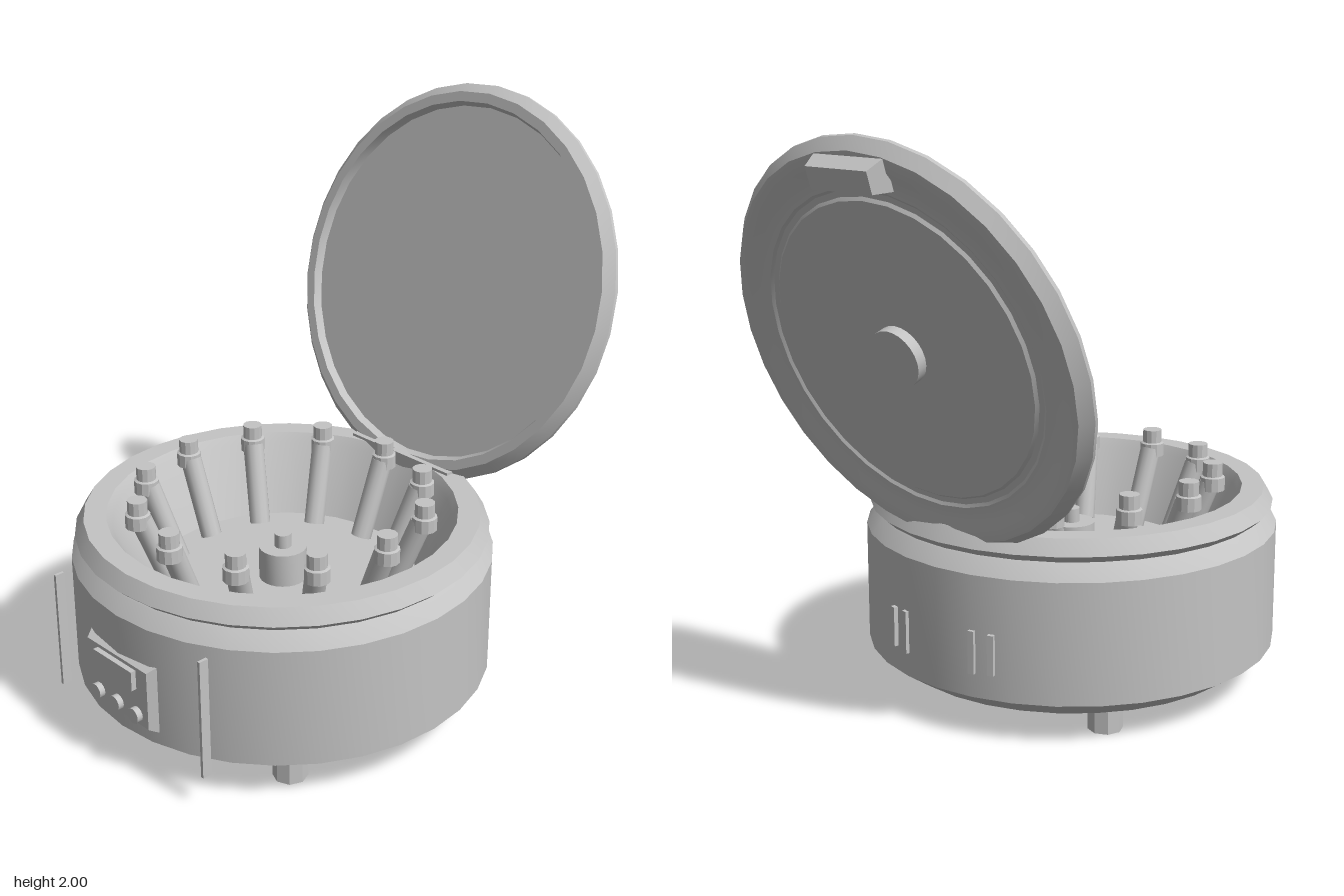
import * as THREE from 'three';
import { toCreasedNormals } from 'three/addons/utils/BufferGeometryUtils.js';

const CZ = 0.193; // z of the body axis

export function createModel() {
  const model = new THREE.Group();
  model.name = 'centrifuge';
  const grey = new THREE.MeshStandardMaterial({ color: 0xc4c4c4 });
  grey.name = 'grey';

  const add = (name, geometry, x = 0, y = 0, z = 0, parent = model) => {
    const mesh = new THREE.Mesh(geometry, grey);
    mesh.name = name;
    mesh.position.set(x, y, z);
    parent.add(mesh);
    return mesh;
  };
  const lathe = (points, segments = 32) => toCreasedNormals(
    new THREE.LatheGeometry(points.map(p => new THREE.Vector2(...p)), segments), 0.42);
  const box = (w, h, d) => new THREE.BoxGeometry(w, h, d);
  // box whose +z face is narrowed by an inset on every side
  const taperedBox = (w, h, d, inset) => {
    const g = box(w, h, d), p = g.attributes.position;
    for (let i = 0; i < p.count; i++) {
      if (p.getZ(i) > 0) {
        p.setX(i, p.getX(i) - Math.sign(p.getX(i)) * inset);
        p.setY(i, p.getY(i) - Math.sign(p.getY(i)) * inset);
      }
    }
    return toCreasedNormals(g, 0.2);
  };

  // Body shell with grooved rim and open bowl
  add('body', lathe([
    [0, 0.08], [0.64, 0.08], [0.735, 0.145], [0.735, 0.57], [0.695, 0.62],
    [0.69, 0.625], [0.72, 0.652], [0.688, 0.705], [0.61, 0.705], [0.59, 0.675],
    [0.475, 0.43], [0, 0.43],
  ]), 0, 0, CZ);

  // Rotor hub and spindle
  add('hub', lathe([[0.085, 0.43], [0.085, 0.55], [0.03, 0.55], [0.03, 0.6], [0, 0.6]], 24), 0, 0, CZ);

  // Ring of leaning tubes with upright caps
  const low = new THREE.Vector3(0, 0.44, 0.39), high = new THREE.Vector3(0, 0.715, 0.495);
  const axis = high.clone().sub(low);
  const tubeGeo = toCreasedNormals(new THREE.CylinderGeometry(0.038, 0.038, axis.length(), 12), 0.6);
  const capGeo = lathe([[0, 0.69], [0.044, 0.69], [0.044, 0.738], [0.035, 0.742], [0.035, 0.79], [0, 0.79]], 12);
  for (let i = 0; i < 12; i++) {
    const holder = new THREE.Group();
    holder.name = 'tubeHolder';
    holder.position.z = CZ;
    holder.rotation.y = i * Math.PI / 6;
    const mid = low.clone().lerp(high, 0.5);
    add('tube', tubeGeo, mid.x, mid.y, mid.z, holder)
      .quaternion.setFromUnitVectors(new THREE.Vector3(0, 1, 0), axis.clone().normalize());
    add('tubeCap', capGeo, 0, 0, 0.505, holder);
    model.add(holder);
  }

  // Feet
  for (const x of [-0.44, 0.44]) for (const z of [-0.38, 0.38]) {
    add('foot', toCreasedNormals(new THREE.CylinderGeometry(0.06, 0.06, 0.09, 8), 0.5), x, 0.045, CZ + z);
  }

  // Control panel with display and knobs
  add('controlPanel', taperedBox(0.37, 0.275, 0.055, 0.03), 0, 0.315, 0.909);
  add('display', box(0.2, 0.07, 0.025), 0, 0.375, 0.943);
  for (const x of [-0.1, 0, 0.1]) {
    add('knob', new THREE.CylinderGeometry(0.027, 0.027, 0.025, 16), x, 0.245, 0.945).rotation.x = Math.PI / 2;
  }

  for (const side of [-1, 1]) {
    // Thin upright strips standing off the front
    add('frontStrip', box(0.011, 0.435, 0.035), side * 0.377, 0.335, 0.882);
    // Pairs of vents on the back
    for (const [a, h] of [[0.2, 0.15], [0.295, 0.14]]) {
      const vent = add('vent', box(0.022, h, 0.024),
        side * Math.sin(a) * 0.735, 0.305, CZ - Math.cos(a) * 0.735);
      vent.rotation.y = side * -a;
    }
  }

  // Hinge block
  add('hinge', box(0.48, 0.05, 0.07), 0, 0.69, -0.425);

  // Open lid: local +y is its inner face, local -z its free edge
  const lid = new THREE.Group();
  lid.name = 'lid';
  lid.position.set(0, 1.318, -0.648);
  lid.rotation.x = THREE.MathUtils.degToRad(72);
  model.add(lid);
  add('lidShell', lathe([
    [0, -0.035], [0.52, -0.035], [0.53, -0.026], [0.55, -0.026], [0.56, -0.033],
    [0.61, -0.033], [0.64, -0.045], [0.685, -0.045], [0.718, -0.005], [0.718, 0.008],
    [0.685, 0.04], [0.65, 0.04], [0.637, 0.012], [0, 0.012],
  ]), 0, 0, 0, lid);
  add('lidKnob', new THREE.CylinderGeometry(0.1, 0.1, 0.045, 24), 0, -0.05, 0, lid);
  add('lidHandle', taperedBox(0.29, 0.11, 0.07, 0.018), 0, -0.07, -0.615, lid).rotation.x = Math.PI / 2;

  return model;
}
